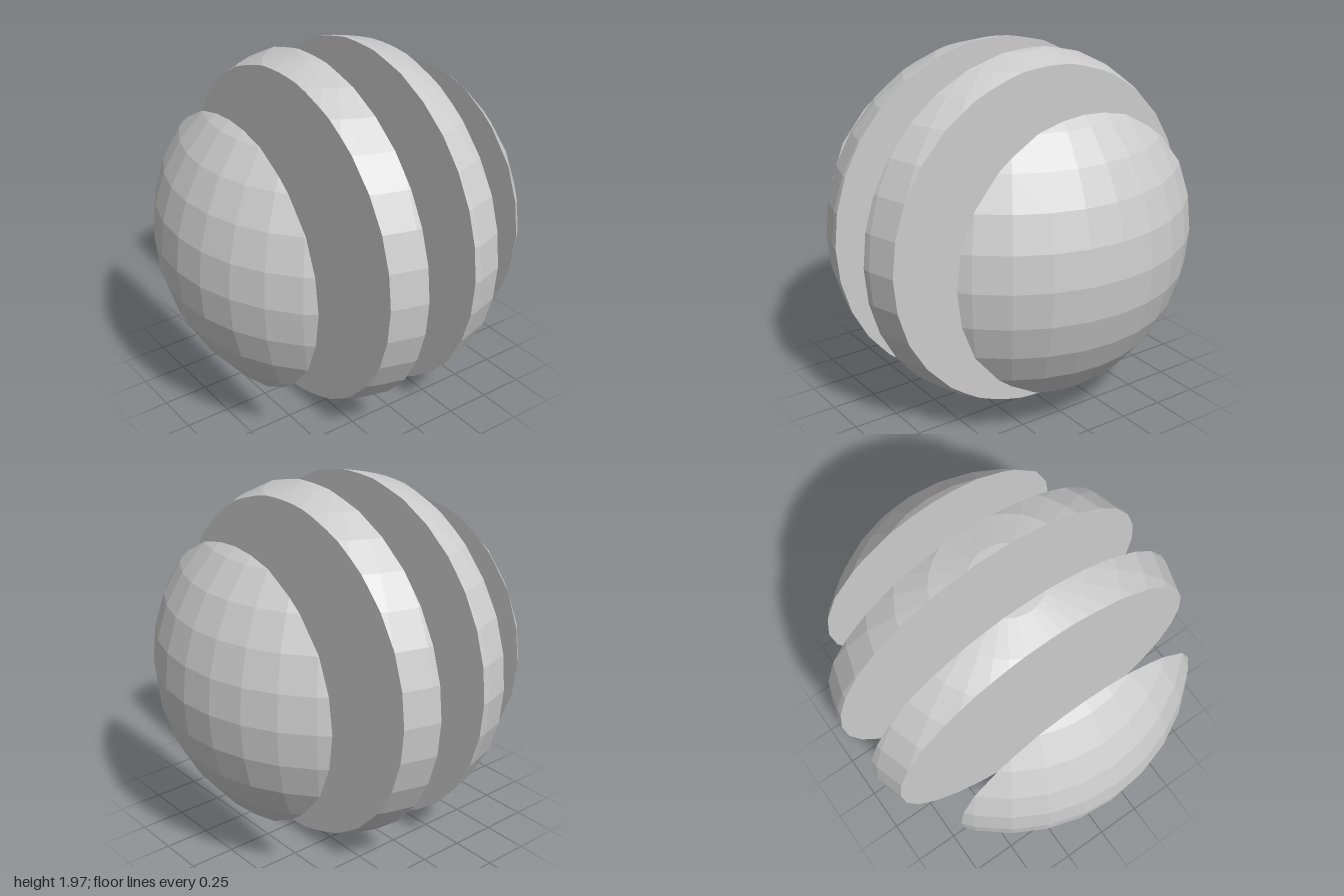
import * as THREE from 'three';

const CENTER_Y = 0.985;

// Keep the part of a polygon where side * (z - plane) >= 0
function clipPolygon(poly, plane, side) {
  const out = [];
  poly.forEach((p, i) => {
    const q = poly[(i + 1) % poly.length];
    const dp = side * (p.z - plane), dq = side * (q.z - plane);
    if (dp >= 0) out.push(p);
    if (dp * dq < 0) {
      const cut = p.clone().lerp(q, dp / (dp - dq));
      cut.z = plane;
      out.push(cut);
    }
  });
  return out;
}

// Solid slice of the faceted ball between two z planes, with flat cut faces
function sliceGeometry(zMin, zMax) {
  const ball = new THREE.SphereGeometry(1, 32, 16).toNonIndexed().getAttribute('position');
  const verts = [];
  const addTriangle = (a, b, c) => [a, b, c].forEach((v) => verts.push(v.x, v.y, v.z));

  for (let i = 0; i < ball.count; i += 3) {
    let poly = [0, 1, 2].map((k) => new THREE.Vector3().fromBufferAttribute(ball, i + k));
    poly = clipPolygon(clipPolygon(poly, zMin, 1), zMax, -1);
    if (poly.length < 3) continue;
    for (let k = 1; k < poly.length - 1; k++) addTriangle(poly[0], poly[k], poly[k + 1]);

    // close the cut: fan from the slice axis to each cut edge
    poly.forEach((p, k) => {
      const q = poly[(k + 1) % poly.length];
      for (const plane of [zMin, zMax]) {
        if (p.z === plane && q.z === plane) addTriangle(q, p, new THREE.Vector3(0, 0, plane));
      }
    });
  }

  const geometry = new THREE.BufferGeometry();
  geometry.setAttribute('position', new THREE.Float32BufferAttribute(verts, 3));
  geometry.computeVertexNormals();
  return geometry;
}

export function createModel() {
  const group = new THREE.Group();
  group.name = 'slicedBall';
  const material = new THREE.MeshStandardMaterial({ color: 0xcccccc, flatShading: true });

  // two end domes and two inner discs
  const slices = [
    ['frontDome', 0.65, 2],
    ['frontDisc', 0.15, 0.35],
    ['backDisc', -0.35, -0.15],
    ['backDome', -2, -0.65],
  ];
  for (const [name, zMin, zMax] of slices) {
    const mesh = new THREE.Mesh(sliceGeometry(zMin, zMax), material);
    mesh.name = name;
    mesh.position.y = CENTER_Y;
    group.add(mesh);
  }
  return group;
}
